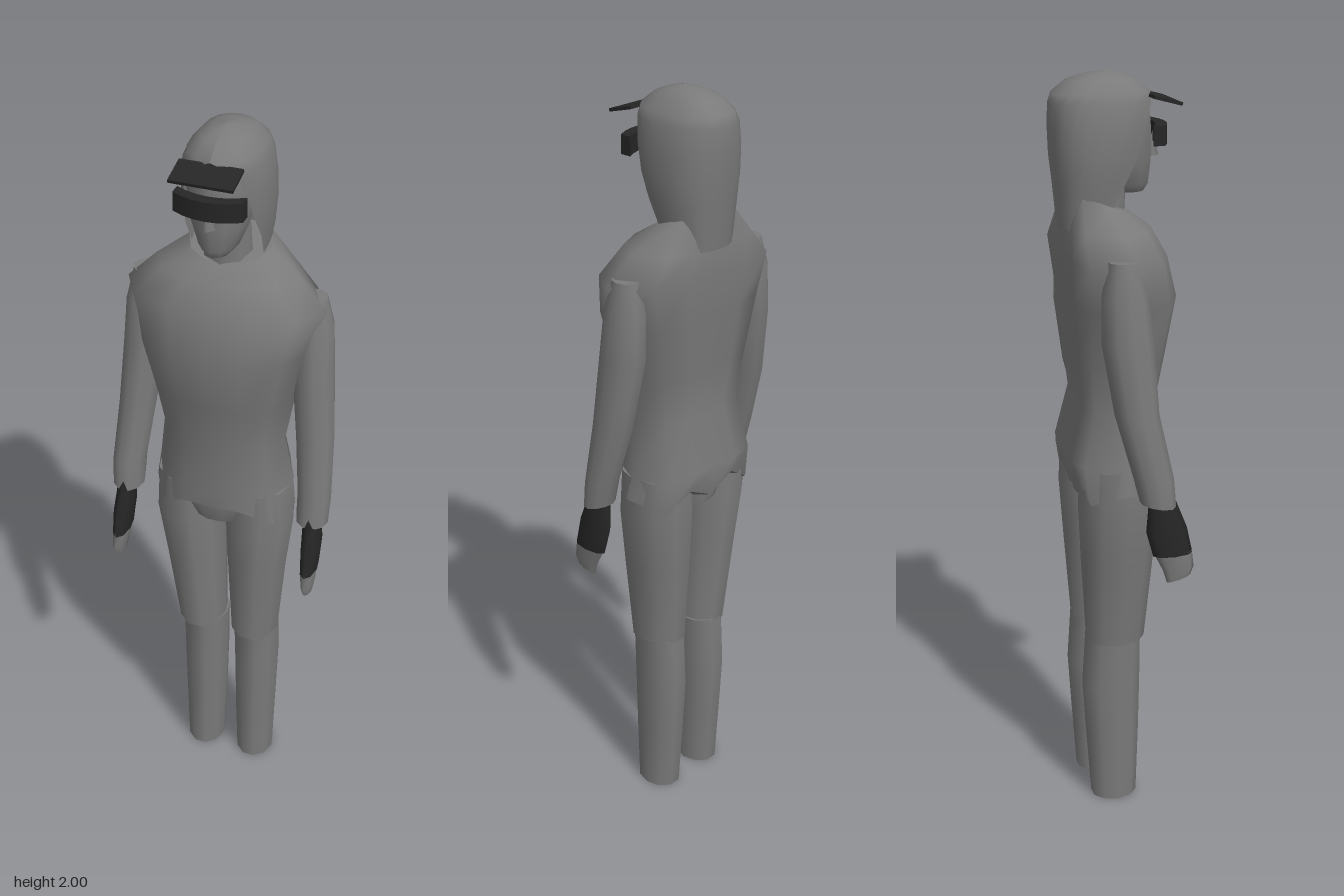
import * as THREE from 'three';

const mat = (name, color, side = THREE.FrontSide) => {
  const m = new THREE.MeshStandardMaterial({ color, side });
  m.name = name;
  return m;
};

// Ring outlines as unit corners (x, z), running from +x towards the front.
const TEN = [[1, 0], [0.8, 0.66], [0.4, 1], [0, 1.02], [-0.4, 1], [-0.8, 0.66], [-1, 0],
  [-0.78, -0.85], [-0.4, -1], [0, -0.97], [0.4, -1], [0.78, -0.85]];
const round = (n) => Array.from({ length: n }, (_, i) => {
  const a = (i / n) * Math.PI * 2;
  return [Math.cos(a), Math.sin(a)];
});

// Skin rows of points, listed bottom to top; closed rows wrap round.
function skin(rows, closed) {
  const n = rows[0].length, pos = rows.flat(2), idx = [];
  for (let j = 0; j < rows.length - 1; j++) {
    for (let i = 0; i < (closed ? n : n - 1); i++) {
      const a = j * n + i, b = j * n + (i + 1) % n;
      idx.push(a, a + n, b, b, a + n, b + n);
    }
  }
  const cap = (row, up) => {
    const base = pos.length / 3;
    row.forEach((p) => pos.push(...p));
    for (let i = 1; i < n - 1; i++) idx.push(base, base + (up ? i + 1 : i), base + (up ? i : i + 1));
  };
  if (closed) {
    cap(rows[0], false);
    cap(rows[rows.length - 1], true);
  }
  const g = new THREE.BufferGeometry();
  g.setAttribute('position', new THREE.Float32BufferAttribute(pos, 3));
  g.setIndex(idx);
  g.computeVertexNormals();
  return g;
}

// Each ring: [y, centre x, half width, front z, back z, drop of y towards the front]
const loft = (rings, shape, yShift = () => 0) => skin(rings.map(([y, cx, rx, zf, zb, tilt = 0], j) =>
  shape.map(([x, z], i) => {
    const mid = (zf + zb) / 2, half = (zf - zb) / 2;
    return [cx + x * rx, y - tilt * z + yShift(j, i), mid + z * half];
  })), true);

export function createModel() {
  const model = new THREE.Group();
  const cloth = mat('grey cloth', 0x7a7a7a);
  const hoodCloth = mat('grey hood cloth', 0x7a7a7a, THREE.DoubleSide);
  const skinMat = mat('grey skin', 0x7a7a7a);
  const black = mat('black', 0x262626);
  const add = (name, geo, material) => {
    const m = new THREE.Mesh(geo, material);
    m.name = name;
    model.add(m);
    return m;
  };

  // Jacket with a ragged hem
  const hem = [0, -0.03, 0.015, 0.015, 0.015, -0.03, 0, -0.03, 0.02, -0.02, 0.02, -0.03];
  add('jacket', loft([
    [0.96, 0, 0.195, 0.1, -0.115],
    [1.03, 0, 0.186, 0.103, -0.13],
    [1.17, 0, 0.165, 0.1, -0.095],
    [1.3, 0, 0.188, 0.122, -0.108],
    [1.45, 0, 0.225, 0.145, -0.122],
    [1.56, 0, 0.257, 0.115, -0.13],
    [1.63, 0, 0.185, 0.08, -0.122],
    [1.69, 0, 0.105, 0.03, -0.105, 0.025],
  ], TEN, (j, i) => (j === 0 ? hem[i] : 0)), cloth);

  // Centre flaps below the hem
  for (const [name, z] of [['frontFlap', 0.05], ['backFlap', -0.065]]) {
    add(name, loft([
      [0.915, 0, 0.06, z + 0.035, z - 0.035],
      [0.97, 0, 0.1, z + 0.05, z - 0.045],
      [1.01, 0, 0.12, z + 0.045, z - 0.045],
    ], round(10)), cloth);
  }

  for (const s of [1, -1]) {
    const side = s > 0 ? 'left' : 'right';
    // Trouser leg, with a small step at the knee
    const c = 0.017;
    add(side + 'Shin', loft([
      [0.005, c + s * 0.077, 0.053, 0.054, -0.074],
      [0.2, c + s * 0.076, 0.058, 0.06, -0.088],
      [0.36, c + s * 0.076, 0.061, 0.063, -0.098],
      [0.51, c + s * 0.075, 0.063, 0.064, -0.088],
    ], round(10)), cloth);
    add(side + 'Thigh', loft([
      [0.5, c * 0.7 + s * 0.077, 0.066, 0.072, -0.088],
      [0.75, c * 0.3 + s * 0.088, 0.081, 0.09, -0.106],
      [0.9, s * 0.097, 0.093, 0.093, -0.115],
      [1.02, s * 0.095, 0.09, 0.085, -0.11],
    ], round(10)), cloth);

    // Sleeve
    const dz = s < 0 ? 0.008 : -0.008;
    add(side + 'Sleeve', loft([
      [0.96, s * 0.256, 0.043, 0.085 + dz, 0, 0.008],
      [1.03, s * 0.256, 0.045, 0.078 + dz, -0.016],
      [1.2, s * 0.242, 0.05, 0.05, -0.062],
      [1.38, s * 0.225, 0.053, 0.04, -0.09],
      [1.5, s * 0.221, 0.049, 0.025, -0.088],
      [1.58, s * 0.215, 0.035, 0.005, -0.07],
    ], round(10)), cloth);

    // Glove and bare fingertips
    add(side + 'Glove', loft([
      [0.82, s * 0.264, 0.021, 0.13 + dz, 0.025 + dz],
      [0.89, s * 0.262, 0.025, 0.115 + dz, 0.006 + dz],
      [0.98, s * 0.256, 0.024, 0.08 + dz, 0.015 + dz],
    ], round(8)), black);
    add(side + 'Fingers', loft([
      [0.75, s * 0.266, 0.01, 0.125 + dz, 0.062 + dz, -0.008],
      [0.78, s * 0.266, 0.016, 0.134 + dz, 0.05 + dz],
      [0.825, s * 0.264, 0.02, 0.129 + dz, 0.028 + dz],
    ], round(8)), skinMat);
  }

  // Neck and face
  add('neck', loft([
    [1.62, 0, 0.066, 0.035, -0.08],
    [1.76, 0, 0.06, 0.04, -0.075],
  ], round(8)), skinMat);
  add('face', loft([
    [1.705, 0, 0.03, 0.085, 0.01],
    [1.725, 0, 0.048, 0.098, -0.03],
    [1.78, 0, 0.07, 0.103, -0.06],
    [1.86, 0, 0.084, 0.103, -0.08],
    [1.93, 0, 0.08, 0.097, -0.08],
    [1.97, 0, 0.045, 0.05, -0.05],
  ], round(12)), skinMat);
  const nose = add('nose', new THREE.ConeGeometry(0.016, 0.06, 4), skinMat);
  nose.position.set(0, 1.82, 0.108);

  // Hood: rings about the head, open at the face; [y, half width, front z, back z, half sweep]
  const hoodRings = [
    [1.675, 0.092, 0.05, -0.135, 1.75],
    [1.74, 0.103, 0.065, -0.146, 2.0],
    [1.8, 0.109, 0.08, -0.153, 2.25],
    [1.87, 0.108, 0.093, -0.156, 2.4],
    [1.925, 0.099, 0.1, -0.155, 2.65],
    [1.95, 0.088, 0.097, -0.148, Math.PI],
    [1.98, 0.062, 0.06, -0.11, Math.PI],
    [1.993, 0.035, 0.025, -0.065, Math.PI],
    [2.0, 0.001, -0.01, -0.012, Math.PI],
  ];
  const N = 16;
  add('hood', skin(hoodRings.map(([y, rx, zf, zb, sweep], j) =>
    Array.from({ length: N + 1 }, (_, i) => {
      const u = (i / N) * 2 - 1, a = u * sweep;
      const drop = j === 0 && Math.abs(u) < 0.45 ? -0.05 : 0;
      const soft = (v) => Math.sign(v) * Math.abs(v) ** 0.85;
      return [-rx * soft(Math.sin(a)), y + drop, (zf + zb) / 2 - ((zf - zb) / 2) * soft(Math.cos(a))];
    }).reverse()), false), hoodCloth);

  // Visor, bent back at the sides
  const visorGeo = new THREE.BoxGeometry(0.17, 0.048, 0.03, 6, 1, 1);
  const p = visorGeo.attributes.position;
  for (let i = 0; i < p.count; i++) p.setZ(i, p.getZ(i) - 3.5 * p.getX(i) ** 2);
  visorGeo.computeVertexNormals();
  add('visor', visorGeo, black).position.set(0, 1.849, 0.123);

  // Cap brim, dipping forward
  const brim = add('brim', new THREE.BoxGeometry(0.155, 0.008, 0.075), black);
  brim.position.set(0, 1.931, 0.123);
  brim.rotation.x = 0.26;

  return model;
}
